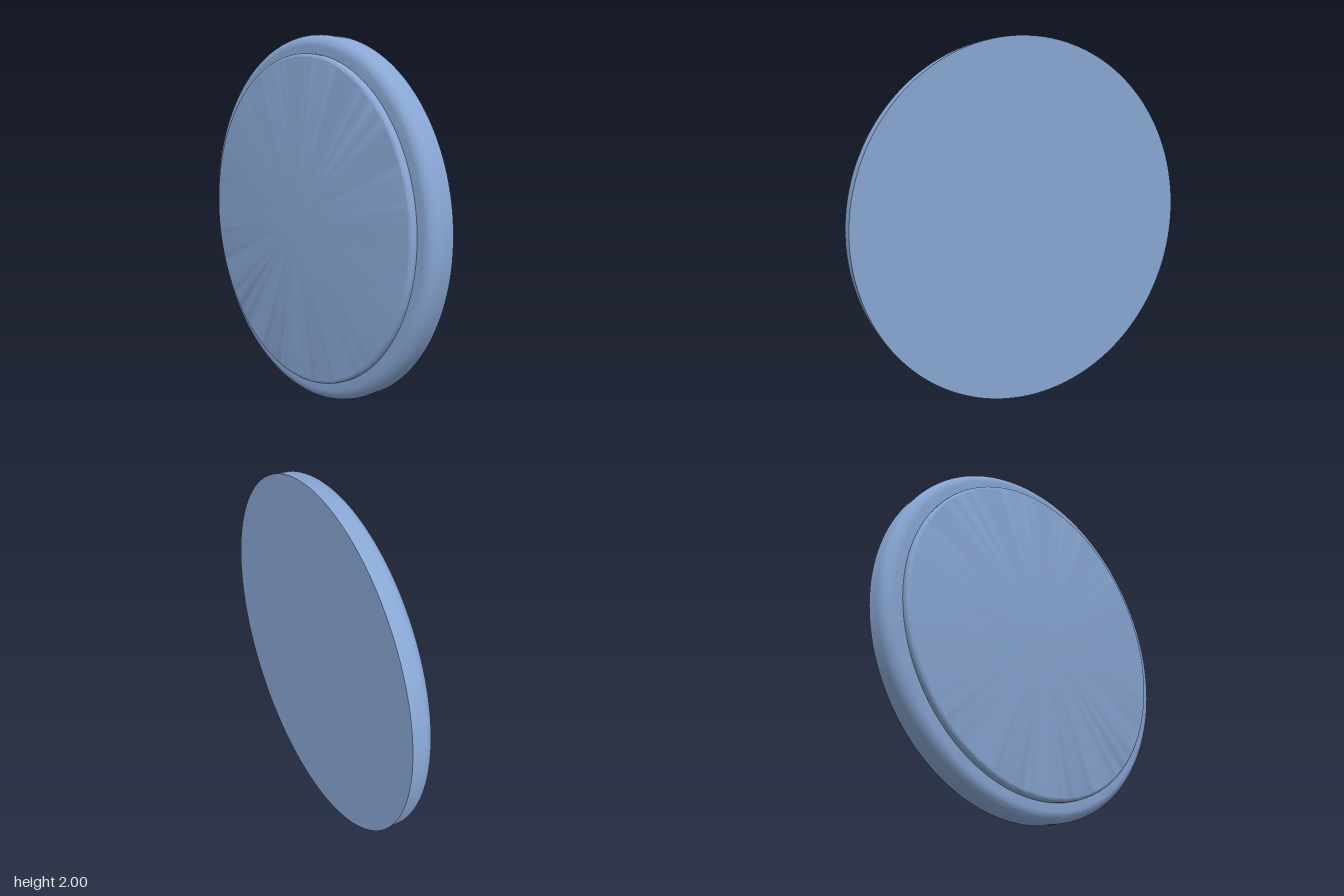
import * as THREE from 'three';
import { toCreasedNormals } from 'three/addons/utils/BufferGeometryUtils.js';

const material = new THREE.MeshStandardMaterial({ color: 0x89a7d4 });

// Quarter-round corner ending at height z, on a wall of the given radius
function fillet(radius, z, r, steps = 10) {
  const points = [];
  for (let i = 0; i <= steps; i++) {
    const a = (i / steps) * Math.PI / 2;
    points.push([radius - r + r * Math.cos(a), z - r + r * Math.sin(a)]);
  }
  return points;
}

// Turn a [radius, z] profile around the z axis, keeping hard edges sharp
function turned(name, profile) {
  const points = profile.map(([r, z]) => new THREE.Vector2(Math.max(r, 0), z));
  const geometry = new THREE.LatheGeometry(points, 160).rotateX(Math.PI / 2);
  const mesh = new THREE.Mesh(toCreasedNormals(geometry, 0.6), material);
  mesh.name = name;
  mesh.position.y = 1;
  return mesh;
}

export function createModel() {
  const back = -0.08, step = 0.045, front = 0.08;
  const outer = 1, inner = 0.9;
  const model = new THREE.Group();
  model.name = 'roundPlate';

  // Wide base: flat back, straight wall, rounded front rim, ledge
  model.add(turned('base', [
    [0, back], [outer, back], ...fillet(outer, step, 0.06), [inner, step],
  ]));

  // Raised face with a small rounded edge
  model.add(turned('raisedFace', [
    [inner, step], ...fillet(inner, front, 0.02), [0, front],
  ]));

  return model;
}
